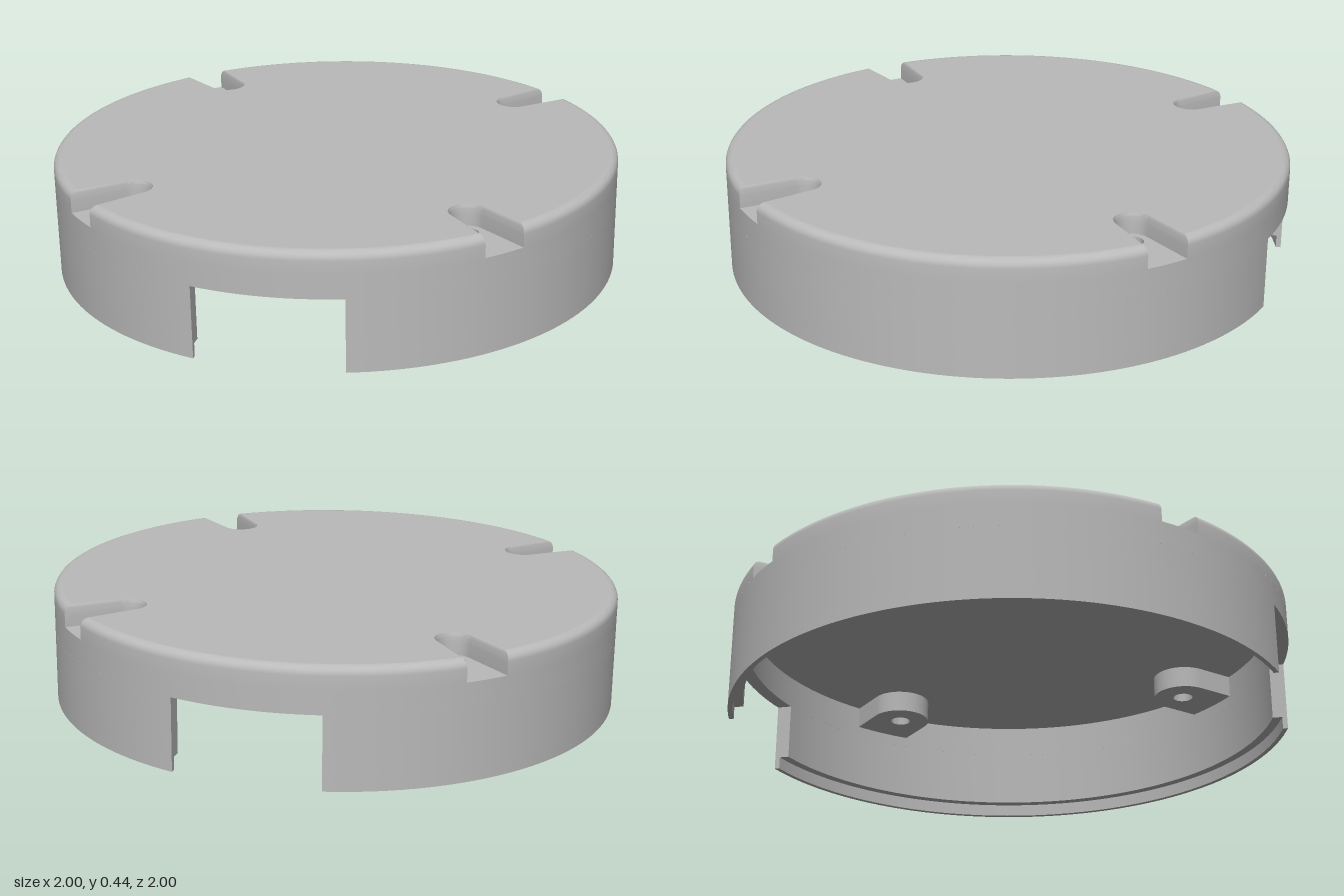
import * as THREE from 'three';
import { toCreasedNormals } from 'three/addons/utils/BufferGeometryUtils.js';

const HEIGHT = 0.41, FLOOR = 0.335, CEILING = 0.37, BOSS_Y = 0.29, NOTCH_TOP = 0.253;
const LIP = 0.045, INNER = 0.95, FILLET = 0.03, SCREW_R = 0.8, HOLE_R = 0.037;
const V = (x, y) => new THREE.Vector2(x, y);

// points along an arc, from angle a to angle b
function arc(cx, r, a, b, n) {
  return Array.from({ length: n + 1 }, (_, i) => {
    const t = a + (b - a) * i / n;
    return V(cx + r * Math.cos(t), r * Math.sin(t));
  });
}

// disc outline of radius R with four screw slots of half-width w, flaring at the rim
function slottedOutline(R, w) {
  const pts = [], flare = w + 0.015, rim = Math.asin(flare / R);
  for (let k = 0; k < 4; k++) {
    const a = Math.PI / 4 + k * Math.PI / 2;
    const slot = arc(SCREW_R, w, 1.5 * Math.PI, 0.5 * Math.PI, 16);
    pts.push(...slot.map(p => p.rotateAround(V(0, 0), a)));
    pts.push(...arc(0, R, a + rim, a + Math.PI / 2 - rim, 36));
  }
  return pts;
}

// upright extrusion from y0 to y1, smooth on curves and sharp at edges
function slab(shape, y0, y1) {
  const g = new THREE.ExtrudeGeometry(shape, { depth: y1 - y0, bevelEnabled: false, curveSegments: 72 });
  g.rotateX(-Math.PI / 2).translate(0, y0, 0);
  return toCreasedNormals(g, 0.6);
}

// wall sector centred on +x, its ends cut parallel to the limiting rays
function sector(rIn, rOut, half, cut) {
  const a = r => half - Math.asin(cut / r);
  return new THREE.Shape([
    ...arc(0, rOut, -a(rOut), a(rOut), 72),
    ...arc(0, rIn, a(rIn), -a(rIn), 72),
  ]);
}

// skin through stacked outlines, each given as { y, pts }
function loft(levels) {
  const n = levels[0].pts.length, pos = [], idx = [];
  levels.forEach(({ y, pts }) => pts.forEach(p => pos.push(p.x, y, -p.y)));
  for (let j = 0; j < levels.length - 1; j++) {
    for (let i = 0; i < n; i++) {
      const a = j * n + i, b = j * n + (i + 1) % n;
      idx.push(a, b, b + n, a, b + n, a + n);
    }
  }
  const g = new THREE.BufferGeometry();
  g.setAttribute('position', new THREE.Float32BufferAttribute(pos, 3));
  g.setIndex(idx);
  return toCreasedNormals(g, 0.6);
}

export function createModel() {
  const model = new THREE.Group();
  model.name = 'roundCover';
  const cover = new THREE.Group();
  cover.name = 'tiltedCover';
  model.add(cover);

  const grey = new THREE.MeshStandardMaterial({ color: 0xbababa });
  grey.name = 'plain grey';
  const add = (name, geometry, turn = 0) => {
    const mesh = new THREE.Mesh(geometry, grey);
    mesh.name = name;
    mesh.rotation.y = turn;
    cover.add(mesh);
  };

  // rounded upper rim together with the slot walls
  const levels = [{ y: FLOOR, pts: slottedOutline(1, 0.06) }];
  for (let i = 0; i <= 6; i++) {
    const t = i / 6 * Math.PI / 2;
    levels.push({
      y: HEIGHT - FILLET + FILLET * Math.sin(t),
      pts: slottedOutline(1 - FILLET + FILLET * Math.cos(t), 0.06 + 0.005 * i / 6),
    });
  }
  add('upperRim', loft(levels));

  // top face and the ceiling below it
  const top = new THREE.ShapeGeometry(new THREE.Shape(levels[levels.length - 1].pts));
  add('topFace', top.rotateX(-Math.PI / 2).translate(0, HEIGHT, 0));
  const under = new THREE.ShapeGeometry(new THREE.Shape(slottedOutline(0.97, 0.062)));
  add('ceiling', under.rotateX(Math.PI / 2).translate(0, CEILING, 0));

  // full ring above the side openings
  const ring = new THREE.Shape().absarc(0, 0, 1, 0, Math.PI * 2);
  ring.holes.push(new THREE.Path().absarc(0, 0, INNER, 0, Math.PI * 2, true));
  add('ringWall', slab(ring, NOTCH_TOP, FLOOR));

  // two lower walls with a thin stepped lip, leaving front and back openings
  const wall = slab(sector(INNER, 1, Math.PI / 2, 0.25), LIP, NOTCH_TOP);
  const lip = slab(sector(0.983, 1, Math.PI / 2, 0.25), 0, LIP);
  for (const turn of [0, Math.PI]) {
    add('lowerWall', wall, turn);
    add('bottomLip', lip, turn);
  }

  // screw bosses: a drilled floor with a collar around each slot
  const outer = [V(0.97, -0.11), V(0.97, 0.11), ...arc(SCREW_R, 0.11, Math.PI / 2, 1.5 * Math.PI, 24)];
  const floor = new THREE.Shape(outer);
  floor.holes.push(new THREE.Path().absarc(SCREW_R, 0, HOLE_R, 0, Math.PI * 2, true));
  const collar = new THREE.Shape([
    V(0.97, 0.085), V(0.97, 0.11), ...arc(SCREW_R, 0.11, Math.PI / 2, 1.5 * Math.PI, 24),
    V(0.97, -0.11), V(0.97, -0.085), ...arc(SCREW_R, 0.08, 1.5 * Math.PI, Math.PI / 2, 24),
  ]);
  const floorGeo = slab(floor, BOSS_Y, FLOOR);
  const collarGeo = slab(collar, FLOOR, CEILING + 0.002);
  const innerWall = slab(sector(INNER, 0.97, Math.PI / 4, 0.085), FLOOR, CEILING + 0.002);
  for (let k = 0; k < 4; k++) {
    const turn = k * Math.PI / 2;
    add('screwBoss', floorGeo, turn + Math.PI / 4);
    add('bossCollar', collarGeo, turn + Math.PI / 4);
    add('innerWall', innerWall, turn);
  }

  // the cover rests with a slight lean
  cover.rotation.z = 0.0135;
  cover.position.y = 0.0135;
  return model;
}
